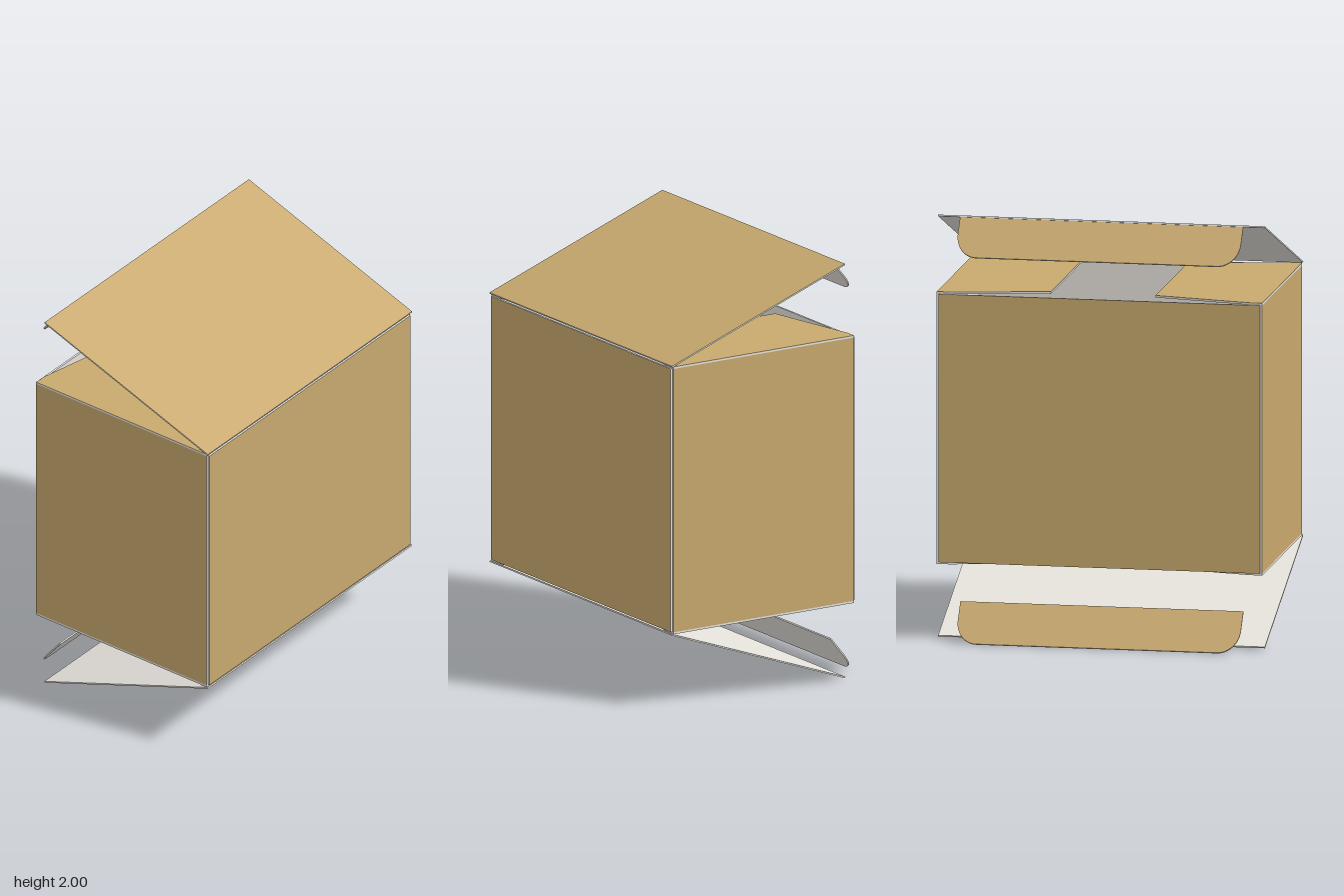
import * as THREE from 'three';

const kraft = new THREE.MeshStandardMaterial({ color: 0xc8a96e });
kraft.name = 'kraft';
const liner = new THREE.MeshStandardMaterial({ color: 0xe6e2dc });
liner.name = 'paleLiner';

// Board lying in local xy: kraft on the +z face at z = 0, pale liner on the back and edges
function board(name, shape, t) {
  const geo = new THREE.ExtrudeGeometry(shape, { depth: t, bevelEnabled: false, curveSegments: 10 });
  geo.translate(0, 0, -t);
  const [caps, edges] = geo.groups.map((g) => ({ ...g }));
  const half = caps.count / 2;
  geo.clearGroups();
  geo.addGroup(caps.start, half, 1);
  geo.addGroup(caps.start + half, half, 0);
  geo.addGroup(edges.start, edges.count, 1);
  const mesh = new THREE.Mesh(geo, [kraft, liner]);
  mesh.name = name;
  return mesh;
}

const polygon = (pts) => new THREE.Shape(pts.map(([x, y]) => new THREE.Vector2(x, y)));
const rect = (hw, y0, y1) => polygon([[-hw, y0], [hw, y0], [hw, y1], [-hw, y1]]);

// Runs a board's local y axis from point a to point b, both given as [y, z]
function span(name, a, b, t, makeShape) {
  const dy = b[0] - a[0], dz = b[1] - a[1];
  const mesh = board(name, makeShape(Math.hypot(dy, dz)), t);
  mesh.position.set(0, a[0], a[1]);
  mesh.rotation.x = Math.atan2(dz, dy);
  return mesh;
}

// Tuck flap outline with rounded free corners
function tuckShape(len) {
  const w = 0.667, rx = 0.1, ry = 0.12;
  const s = new THREE.Shape();
  s.moveTo(-w, 0);
  s.lineTo(w, 0);
  s.lineTo(w, len - ry);
  s.absellipse(w - rx, len - ry, rx, ry, 0, Math.PI / 2, false, 0);
  s.lineTo(-w + rx, len);
  s.absellipse(-w + rx, len - ry, rx, ry, Math.PI / 2, Math.PI, false, 0);
  s.lineTo(-w, 0);
  return s;
}

export function createModel() {
  const group = new THREE.Group();
  group.name = 'carton';
  const T = 0.01, LID = 0.007;
  const low = 0.372, high = 1.637, midZ = 0.035;

  // Front and back walls
  const wall = (len) => rect(0.757, 0, len);
  group.add(span('frontWall', [low, 0.545], [high, 0.545], T, wall));
  group.add(span('backWall', [high, -0.475], [low, -0.475], T, wall));

  for (const s of [1, -1]) {
    const side = s > 0 ? 'left' : 'right';

    // Side wall
    const sideWall = board(side + 'Wall', rect(0.5, low, high), T);
    sideWall.position.set(s * 0.767, 0, midZ);
    sideWall.rotation.y = s * Math.PI / 2;
    group.add(sideWall);

    // Tapered dust flaps folded over the top and bottom openings
    const outline = polygon([
      [s * 0.767, -0.5], [s * 0.71, -0.5], [s * 0.246, -0.405],
      [s * 0.246, 0.405], [s * 0.71, 0.5], [s * 0.767, 0.5],
    ]);
    for (const top of [true, false]) {
      const dust = board(side + (top ? 'TopDustFlap' : 'BottomDustFlap'), outline, T);
      dust.position.set(0, top ? high + T : low - T, midZ);
      dust.rotation.x = top ? -Math.PI / 2 : Math.PI / 2;
      group.add(dust);
    }
  }

  // Half-open lids hinged on the front edges
  const lid = (len) => rect(0.77, 0, len);
  group.add(span('topLid', [1.652, 0.545], [2.0, -0.413], LID, lid));
  group.add(span('bottomLid', [0.009, -0.413], [0.358, 0.545], LID, lid));

  // Tuck flaps
  group.add(span('topTuckFlap', [1.995, -0.408], [1.829, -0.545], LID, tuckShape));
  group.add(span('bottomTuckFlap', [0.178, -0.405], [0.006, -0.545], LID, tuckShape));

  return group;
}
